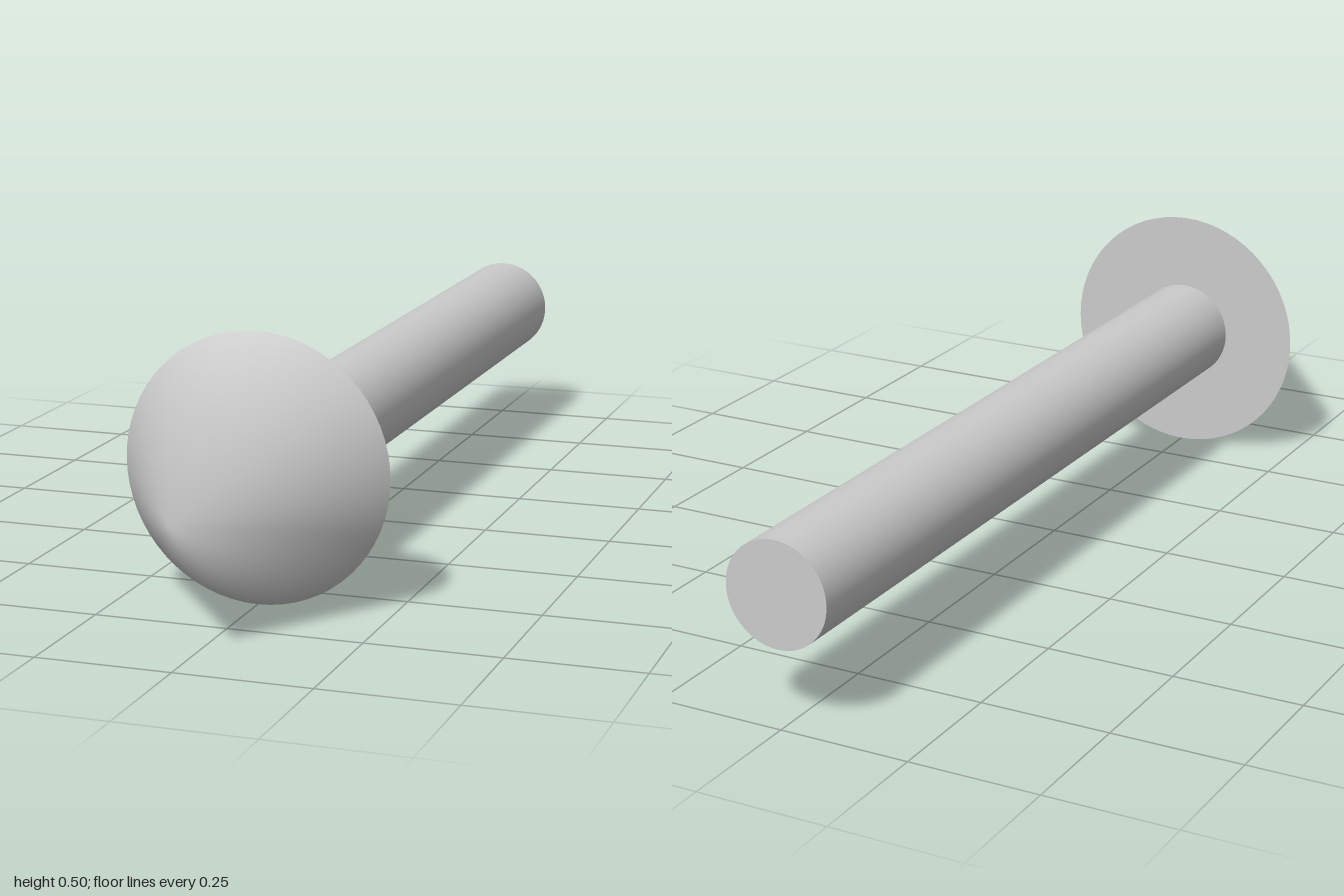
import * as THREE from 'three';

const SEGMENTS = 64;
const AXIS_HEIGHT = 0.25;

export function createModel() {
  const group = new THREE.Group();
  const material = new THREE.MeshStandardMaterial({ color: 0xcccccc });

  // Lays a y-axis geometry along z and centres it at the given z
  const addPart = (name, geometry, z) => {
    geometry.rotateX(Math.PI / 2);
    const mesh = new THREE.Mesh(geometry, material);
    mesh.name = name;
    mesh.position.set(0, AXIS_HEIGHT, z);
    group.add(mesh);
  };

  // Shaft: round rod with flat ends
  addPart('shaft', new THREE.CylinderGeometry(0.1, 0.1, 1.6, SEGMENTS), -0.2);

  // Arrowhead: cone whose tip normals all point along the axis for soft shading
  const head = new THREE.ConeGeometry(0.25, 0.4, SEGMENTS);
  for (let i = 0; i <= SEGMENTS; i++) head.attributes.normal.setXYZ(i, 0, 1, 0);
  addPart('arrowhead', head, 0.8);

  return group;
}
